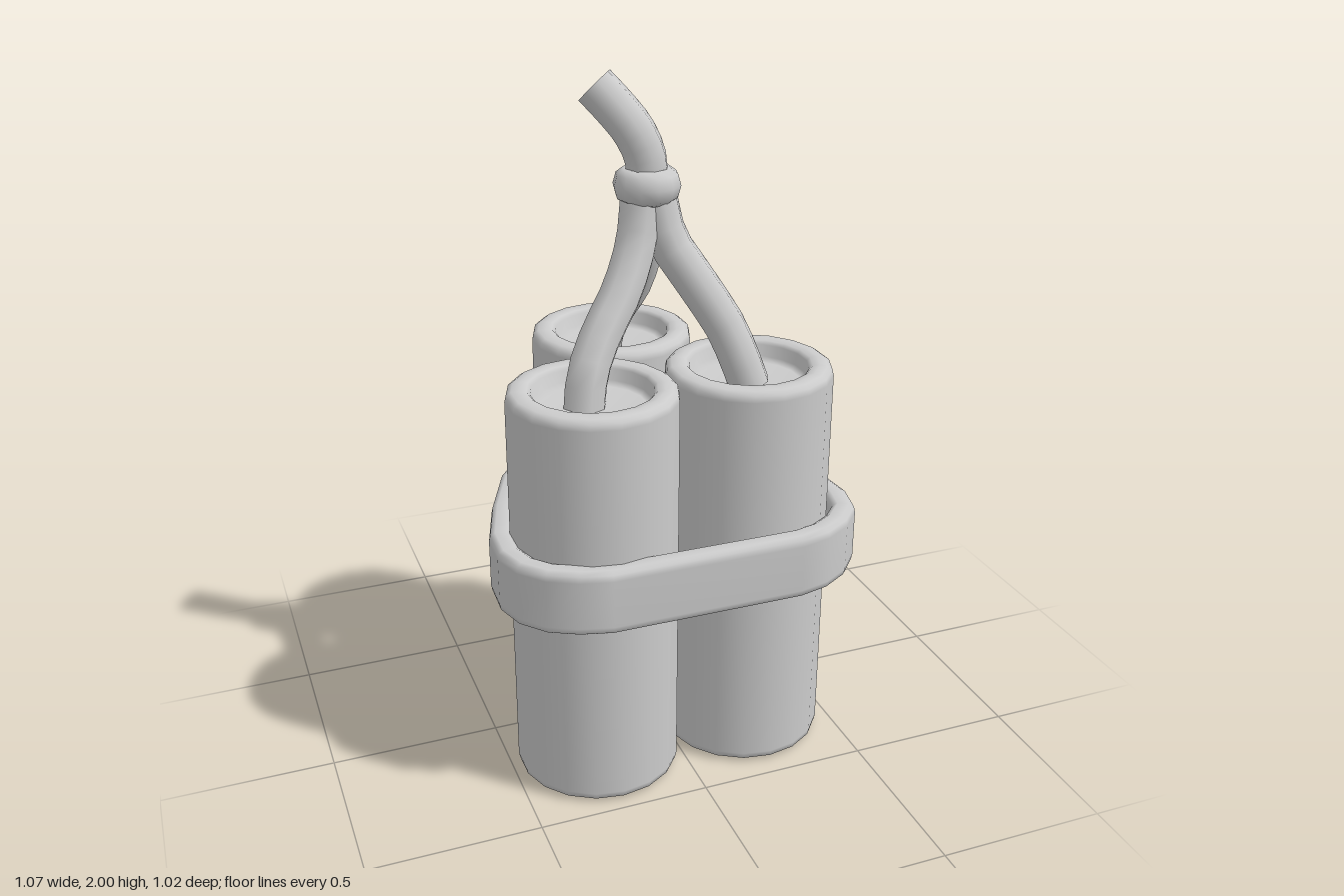
import * as THREE from 'three';

const grey = new THREE.MeshStandardMaterial({ color: 0xcccccc });
grey.name = 'plain grey';

const v2 = (p) => new THREE.Vector2(p[0], p[1]);
const v3 = (p) => new THREE.Vector3(p[0], p[1], p[2]);

function part(name, geometry, parent) {
  const mesh = new THREE.Mesh(geometry, grey);
  mesh.name = name;
  parent.add(mesh);
  return mesh;
}

// Hollow-ended tube: recessed disc, rounded rim, straight wall, mirrored at the top
function stickGeometry() {
  const height = 1.2;
  const lower = [[0, 0.06], [0.15, 0.06], [0.163, 0.045], [0.17, 0.012], [0.18, 0.002],
    [0.2, 0], [0.222, 0.002], [0.236, 0.012], [0.24, 0.03]];
  const upper = lower.map(([r, y]) => [r, height - y]).reverse();
  return new THREE.LatheGeometry([...lower, ...upper].map(v2), 18);
}

// Cord along a smooth path, with a flat cap at its far end
function cord(name, points, parent) {
  const path = new THREE.CatmullRomCurve3(points.map(v3));
  const group = new THREE.Group();
  group.name = name;
  part(name + 'Cord', new THREE.TubeGeometry(path, 10, 0.06, 8), group);
  const cap = part(name + 'Cap', new THREE.CircleGeometry(0.06, 8), group);
  cap.position.copy(path.getPoint(1));
  cap.quaternion.setFromUnitVectors(new THREE.Vector3(0, 0, 1), path.getTangent(1));
  parent.add(group);
}

// Band: a rounded section carried round a closed outline, offset inwards
function bandGeometry(outline, section) {
  const n = outline.length, m = section.length;
  const positions = [], index = [];
  outline.forEach(([x, z], i) => {
    const a = outline[(i + n - 1) % n], b = outline[(i + 1) % n];
    const inward = new THREE.Vector2(-(b[1] - a[1]), b[0] - a[0]).normalize();
    for (const [d, y] of section) positions.push(x + inward.x * d, y, z + inward.y * d);
    for (let j = 0; j < m; j++) {
      const p = i * m + j, q = i * m + (j + 1) % m;
      const r = ((i + 1) % n) * m + j, s = ((i + 1) % n) * m + (j + 1) % m;
      index.push(p, q, r, q, s, r);
    }
  });
  const g = new THREE.BufferGeometry();
  g.setAttribute('position', new THREE.Float32BufferAttribute(positions, 3));
  g.setIndex(index);
  g.computeVertexNormals();
  return g;
}

export function createModel() {
  const model = new THREE.Group();
  model.name = 'stickBundle';

  // Three upright sticks
  const sticks = [['leftStick', 0.235, 0.203], ['rightStick', -0.24, 0.227], ['backStick', -0.032, -0.212]];
  const stick = stickGeometry();
  for (const [name, x, z] of sticks) part(name, stick, model).position.set(x, 0, z);

  // Strap round the bundle, outline running clockwise from the back in x, z
  const outline = [[-0.13, -0.49], [-0.01, -0.515], [0.105, -0.49], [0.25, -0.35], [0.36, -0.2],
    [0.475, 0], [0.527, 0.17], [0.535, 0.27], [0.512, 0.37], [0.45, 0.44], [0.37, 0.487],
    [0.28, 0.508], [-0.28, 0.506], [-0.37, 0.482], [-0.45, 0.44], [-0.51, 0.37],
    [-0.538, 0.28], [-0.533, 0.17], [-0.48, 0], [-0.4, -0.19], [-0.28, -0.355]];
  const section = [[0.018, 0.583], [0.004, 0.592], [0, 0.61], [0, 0.75], [0.004, 0.768], [0.018, 0.777],
    [0.052, 0.777], [0.066, 0.768], [0.07, 0.75], [0.07, 0.61], [0.066, 0.592], [0.052, 0.583]];
  part('strap', bandGeometry(outline, section), model);

  // Fuses rising from each stick to the knot
  cord('leftFuse', [[0.235, 1.13, 0.212], [0.205, 1.22, 0.195], [0.175, 1.3, 0.17],
    [0.1, 1.43, 0.125], [0.03, 1.55, 0.085], [0, 1.7, 0.06]], model);
  cord('rightFuse', [[-0.26, 1.13, 0.215], [-0.245, 1.22, 0.2], [-0.2, 1.31, 0.17],
    [-0.115, 1.43, 0.125], [-0.06, 1.55, 0.085], [-0.035, 1.7, 0.06]], model);
  cord('backFuse', [[-0.055, 1.13, -0.23], [-0.05, 1.21, -0.2], [-0.04, 1.29, -0.14],
    [-0.025, 1.4, -0.04], [-0.015, 1.55, 0.035], [-0.015, 1.7, 0.05]], model);

  // Knot and the loose fuse end above it
  const knotProfile = [[0, 1.65], [0.065, 1.65], [0.086, 1.665], [0.095, 1.698],
    [0.086, 1.73], [0.065, 1.746], [0, 1.746]].map(v2);
  part('knot', new THREE.LatheGeometry(knotProfile, 12), model).position.set(-0.02, 0, 0.06);
  cord('fuseEnd', [[-0.02, 1.67, 0.06], [-0.025, 1.77, 0.065], [-0.055, 1.845, 0.055],
    [-0.105, 1.915, 0.02], [-0.145, 1.962, -0.005]], model);

  return model;
}
